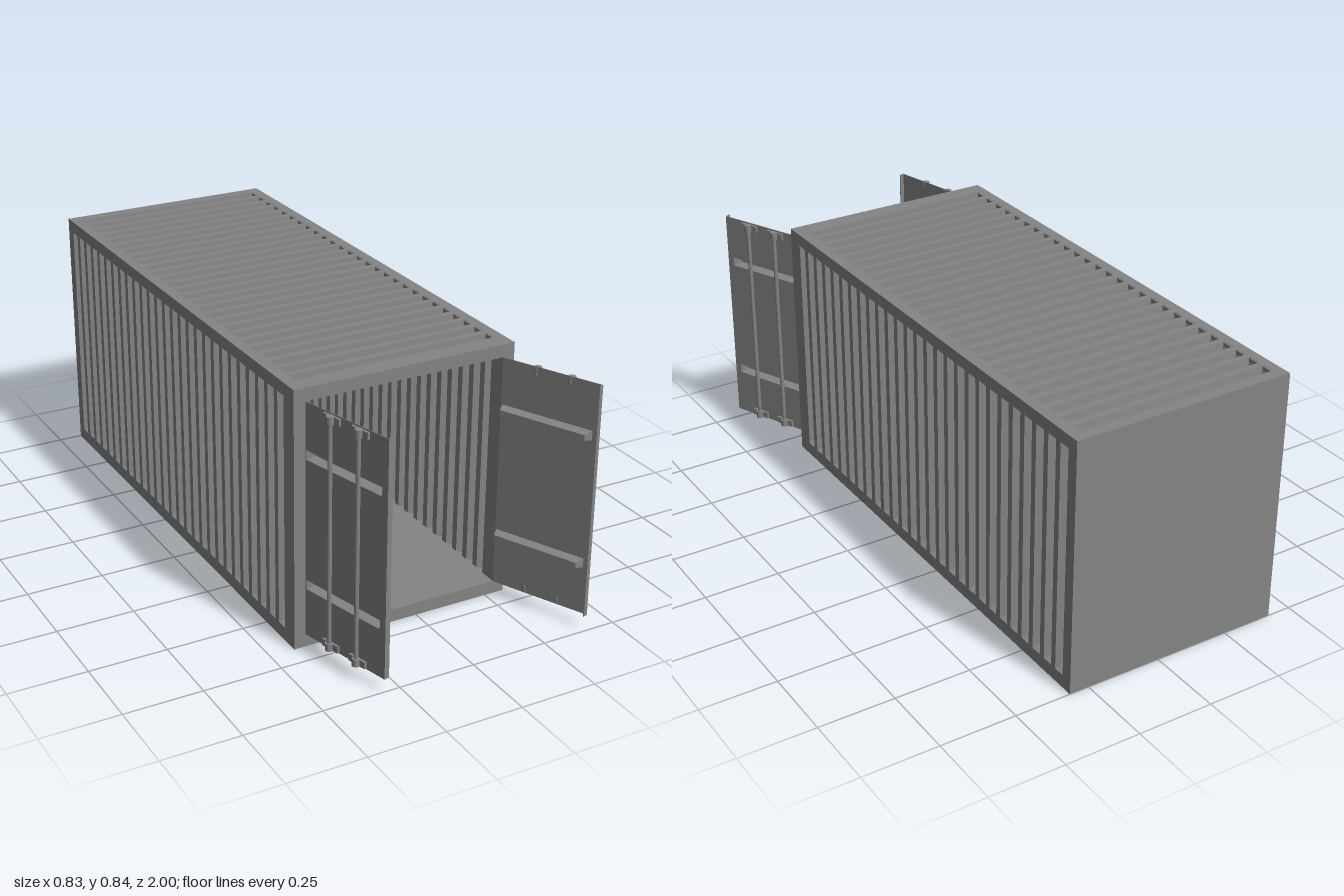
import * as THREE from 'three';
import { mergeGeometries } from 'three/addons/utils/BufferGeometryUtils.js';

const mat = new THREE.MeshStandardMaterial({ color: 0x848484, flatShading: true, side: THREE.DoubleSide });

// Overall body: centre, width, height and z extent
const CX = -0.0525, W = 0.735, H = 0.838, Z0 = -1, Z1 = 0.68;
const L = Z1 - Z0, CZ = (Z0 + Z1) / 2;
// Frame sizes: side posts, sill, header, depth along z, sheet thickness
const POST = 0.037, SILL = 0.043, TOP = 0.041, DEEP = 0.06, SHEET = 0.002;

function add(parent, name, geo, x = 0, y = 0, z = 0) {
  const mesh = new THREE.Mesh(geo, mat);
  mesh.name = name;
  mesh.position.set(x, y, z);
  parent.add(mesh);
  return mesh;
}

// Box given by its min and max corners
function box(parent, name, [x0, y0, z0], [x1, y1, z1]) {
  return add(parent, name, new THREE.BoxGeometry(x1 - x0, y1 - y0, z1 - z0),
    (x0 + x1) / 2, (y0 + y1) / 2, (z0 + z1) / 2);
}

function trace(path, x, y, w, h) {
  path.moveTo(x - w / 2, y - h / 2);
  path.lineTo(x + w / 2, y - h / 2);
  path.lineTo(x + w / 2, y + h / 2);
  path.lineTo(x - w / 2, y + h / 2);
  path.closePath();
  return path;
}

// Open tapered trough whose mouth lies at z = 0
function trough({ x, y, w, h }, depth, taperX, taperY) {
  const g = new THREE.BoxGeometry(w, h, depth);
  const p = g.attributes.position;
  for (let i = 0; i < p.count; i++) {
    if (p.getZ(i) < 0) {
      p.setX(i, p.getX(i) - Math.sign(p.getX(i)) * taperX);
      p.setY(i, p.getY(i) - Math.sign(p.getY(i)) * taperY);
    }
  }
  // drop the mouth face
  g.setIndex([...g.index.array].filter((_, i) => i < 24 || i >= 30));
  g.clearGroups();
  g.computeVertexNormals();
  return g.translate(x, y, -depth / 2);
}

// Thin sheet facing +z with pressed-in troughs
function pressedPanel(name, w, h, slots, depth, taperX, taperY) {
  const group = new THREE.Group();
  group.name = name;
  const shape = trace(new THREE.Shape(), 0, 0, w, h);
  shape.holes = slots.map(s => trace(new THREE.Path(), s.x, s.y, s.w, s.h));
  add(group, name + 'Skin', new THREE.ExtrudeGeometry(shape, { depth: SHEET, bevelEnabled: false }), 0, 0, -SHEET);
  add(group, name + 'Ribs', mergeGeometries(slots.map(s => trough(s, depth, taperX, taperY))));
  return group;
}

// Door swung open; local x runs away from the hinge in direction s, z faces outward
function door(name, s) {
  const group = new THREE.Group();
  group.name = name;
  const w = 0.332, y0 = SILL, y1 = 0.797, mid = (y0 + y1) / 2, h = y1 - y0;
  const slots = [0.213, 0.632].map(y => ({ x: -s * 0.01, y: y - mid, w: 0.306, h: 0.03 }));
  const panel = pressedPanel('doorPanel', w, h, slots, 0.03, 0.01, 0.006);
  panel.position.set(s * w / 2, mid, 0);
  group.add(panel);
  // folded lip on the free edge
  add(group, 'doorLip', new THREE.BoxGeometry(0.003, h, 0.018), s * (w - 0.0015), mid, -0.009);

  for (const u of [0.112, 0.225]) {
    add(group, 'lockBar', new THREE.CylinderGeometry(0.007, 0.007, h - 0.01, 12), s * u, mid, 0.01);
    for (const y of [y0 + 0.014, y1 - 0.016]) {
      add(group, 'barBracket', new THREE.BoxGeometry(0.066, 0.022, 0.008), s * u, y, 0.004);
      add(group, 'barClamp', new THREE.CylinderGeometry(0.013, 0.013, 0.024, 12), s * u, y, 0.009);
    }
  }
  return group;
}

export function createModel() {
  const model = new THREE.Group();
  model.name = 'cargoContainer';
  const xa = CX - W / 2 + 0.001, xb = CX + W / 2 - 0.001, top = H - 0.001;

  // Ribbed side walls and roof
  const ribZ = Array.from({ length: 27 }, (_, i) => 0.6 - i * 0.0593 - CZ);
  for (const s of [1, -1]) {
    const slots = ribZ.map(z => ({ x: -s * z, y: 0.0025, w: 0.038, h: 0.757 }));
    const wall = pressedPanel(s > 0 ? 'leftWall' : 'rightWall', L, H, slots, 0.055, 0.007, 0.02);
    wall.rotation.y = s * Math.PI / 2;
    wall.position.set(CX + s * W / 2, H / 2, CZ);
    model.add(wall);
  }
  const roofSlots = ribZ.map(z => ({ x: 0, y: -z, w: 0.67, h: 0.038 }));
  const roof = pressedPanel('roof', W, L, roofSlots, 0.05, 0.022, 0.007);
  roof.rotation.x = -Math.PI / 2;
  roof.position.set(CX, H, CZ);
  model.add(roof);

  // Door frame: face below the opening, sill plate, header
  box(model, 'sillFace', [xa, 0.001, Z1 - SHEET], [xb, SILL, Z1]);
  box(model, 'sillPlate', [xa, SILL - 0.004, Z1 - DEEP], [xb, SILL, Z1 - SHEET]);
  box(model, 'header', [xa, H - TOP, Z1 - DEEP], [xb, top, Z1]);

  // Door posts, rear posts and top rails on both sides
  for (const [x0, x1] of [[xa, xa + POST], [xb - POST, xb]]) {
    box(model, 'doorPost', [x0, SILL, Z1 - DEEP], [x1, H - TOP, Z1]);
    box(model, 'rearPost', [x0, SILL, Z0 + SHEET], [x1, H - TOP, Z0 + 0.035]);
    box(model, 'topRail', [x0, H - TOP, Z0 + SHEET], [x1, top, Z1 - DEEP]);
  }

  // Rear wall and raised floor
  box(model, 'rearWall', [xa, 0.001, Z0], [xb, top, Z0 + SHEET]);
  box(model, 'floor', [xa + SHEET, 0.03, Z0 + SHEET], [xb - SHEET, 0.038, Z1 - SHEET]);

  // Open doors
  const rightDoor = door('rightDoor', 1);
  rightDoor.position.set(-0.383, 0, 0.68);
  rightDoor.rotation.y = THREE.MathUtils.degToRad(-76);
  const leftDoor = door('leftDoor', -1);
  leftDoor.position.set(0.278, 0, 0.68);
  leftDoor.rotation.y = THREE.MathUtils.degToRad(114.2);
  model.add(rightDoor, leftDoor);

  return model;
}
